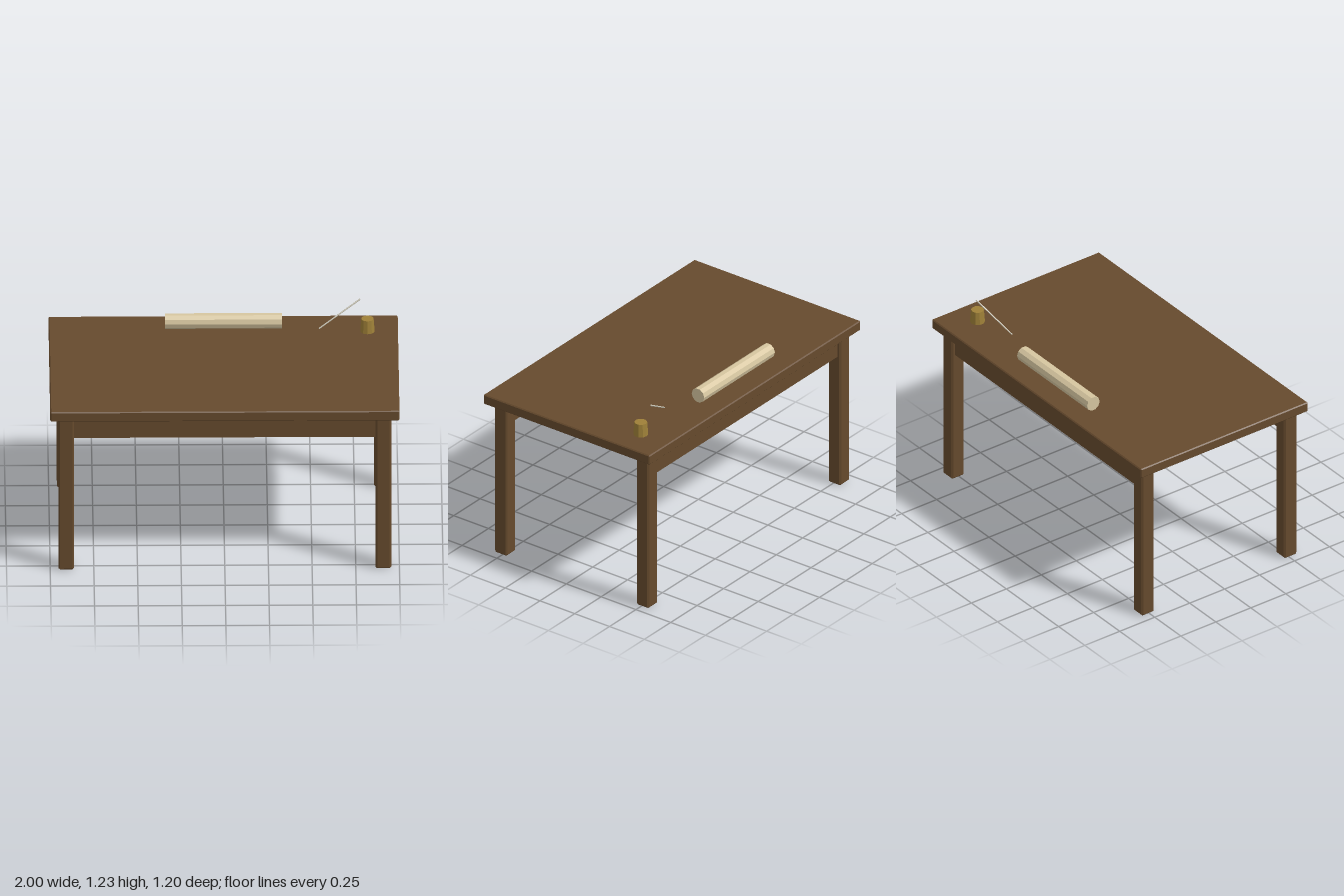
import * as THREE from 'three';
import { ConvexGeometry } from 'three/addons/geometries/ConvexGeometry.js';

// Box whose edges are cut by a single flat chamfer c
function chamferBox(w, h, d, c) {
  const points = [];
  for (const sx of [-1, 1]) for (const sy of [-1, 1]) for (const sz of [-1, 1]) {
    const [x, y, z] = [sx * w / 2, sy * h / 2, sz * d / 2];
    points.push(
      new THREE.Vector3(x, y - sy * c, z - sz * c),
      new THREE.Vector3(x - sx * c, y, z - sz * c),
      new THREE.Vector3(x - sx * c, y - sy * c, z)
    );
  }
  return new ConvexGeometry(points);
}

function material(name, color) {
  const m = new THREE.MeshStandardMaterial({ color, flatShading: true });
  m.name = name;
  return m;
}

export function createModel() {
  const wood = material('dark wood', 0x664a2d);
  const paper = material('parchment', 0xd6c6a0);
  const brass = material('brass', 0x9e8038);
  const feather = material('quill grey', 0xc9c5b5);

  const group = new THREE.Group();
  group.name = 'writingDesk';
  const add = (name, geometry, mat, x, y, z) => {
    const mesh = new THREE.Mesh(geometry, mat);
    mesh.name = name;
    mesh.position.set(x, y, z);
    group.add(mesh);
    return mesh;
  };

  // Table top
  add('tableTop', chamferBox(2, 0.062, 1.196, 0.006), wood, 0, 1.009, 0);

  // Four legs, and a long apron at front and back
  const legGeometry = chamferBox(0.09, 0.978, 0.09, 0.01);
  const apronGeometry = new THREE.BoxGeometry(1.74, 0.135, 0.05);
  for (const sz of [1, -1]) {
    const end = sz > 0 ? 'front' : 'back';
    for (const sx of [1, -1]) {
      add(end + (sx > 0 ? 'LeftLeg' : 'RightLeg'), legGeometry, wood, sx * 0.908, 0.489, sz * 0.51);
    }
    add(end + 'Apron', apronGeometry, wood, 0, 0.9105, sz * 0.51);
  }

  // Rolled parchment lying along the back
  const scroll = new THREE.CylinderGeometry(0.045, 0.045, 0.67, 10).rotateZ(Math.PI / 2);
  add('scroll', scroll, paper, 0, 1.088, -0.441);

  // Ink pot
  add('inkPot', new THREE.CylinderGeometry(0.037, 0.043, 0.08, 10), brass, 0.825, 1.08, -0.402);

  // Quill: a slender rod between its nib and its tip
  const nib = new THREE.Vector3(0.547, 1.077, -0.362);
  const tip = new THREE.Vector3(0.783, 1.223, -0.444);
  const along = tip.clone().sub(nib);
  const centre = nib.clone().add(tip).multiplyScalar(0.5);
  const quill = add('quill', new THREE.CylinderGeometry(0.005, 0.004, along.length(), 6), feather,
    centre.x, centre.y, centre.z);
  quill.quaternion.setFromUnitVectors(new THREE.Vector3(0, 1, 0), along.normalize());

  return group;
}
